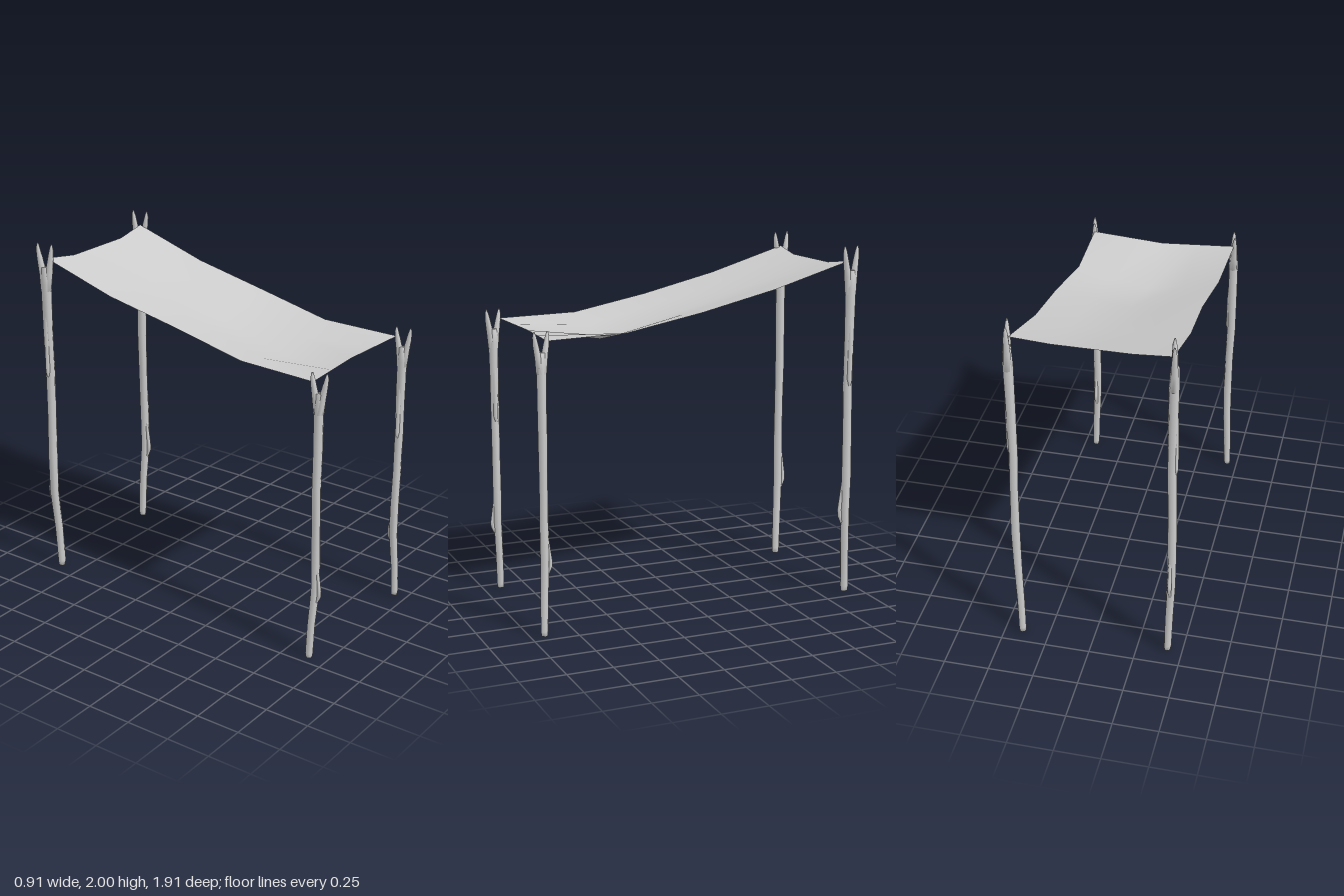
import * as THREE from 'three';
import { mergeVertices } from 'three/addons/utils/BufferGeometryUtils.js';

const grey = new THREE.MeshStandardMaterial({ color: 0xcccccc });
grey.name = 'plain grey';
const clothGrey = grey.clone();
clothGrey.name = 'cloth grey';
clothGrey.side = THREE.DoubleSide;

// Closed limb lofted through rings [x, y, z, radius], listed from bottom to top
function limb(name, rings, sides = 8) {
  const pos = [], index = [];
  rings.forEach(([x, y, z, r], k) => {
    for (let i = 0; i < sides; i++) {
      const a = (i / sides) * Math.PI * 2;
      const rr = r * (1 + 0.06 * Math.sin(i * 2.4 + k * 1.7)); // knotty bark
      pos.push(x + Math.sin(a) * rr, y, z + Math.cos(a) * rr);
    }
  });
  for (let k = 0; k < rings.length - 1; k++) {
    for (let i = 0; i < sides; i++) {
      const a = k * sides + i, b = k * sides + (i + 1) % sides;
      index.push(a, b, b + sides, a, b + sides, a + sides);
    }
  }
  const last = (rings.length - 1) * sides;
  for (let i = 1; i < sides - 1; i++) {
    index.push(0, i + 1, i, last, last + i, last + i + 1);
  }
  const geo = new THREE.BufferGeometry();
  geo.setAttribute('position', new THREE.Float32BufferAttribute(pos, 3));
  geo.setIndex(index);
  geo.computeVertexNormals();
  const mesh = new THREE.Mesh(geo, grey);
  mesh.name = name;
  return mesh;
}

// Forked branch used as a pole
function pole(name) {
  const g = new THREE.Group();
  g.name = name;
  g.add(limb('trunk', [
    [-0.014, 0.005, -0.013, 0.018], [-0.013, 0.03, -0.013, 0.021], [-0.008, 0.2, -0.008, 0.022],
    [0.004, 0.4, 0.002, 0.024], [0.006, 0.58, 0.001, 0.025], [0.002, 0.8, 0, 0.024],
    [-0.004, 1.0, 0, 0.025], [-0.001, 1.25, 0, 0.026], [0.001, 1.45, 0, 0.028], [0.002, 1.53, 0, 0.022],
  ]));
  // Two prongs of the fork
  for (const s of [-1, 1]) {
    g.add(limb(s > 0 ? 'frontProng' : 'backProng', [
      [0, 1.42, s * 0.006, 0.024], [s * 0.003, 1.5, s * 0.017, 0.02], [s * 0.006, 1.57, s * 0.03, 0.016],
      [s * 0.008, 1.615, s * 0.037, 0.011], [s * 0.008, 1.64, s * 0.039, 0.004],
    ]));
  }
  // Broken twigs lying against the trunk
  g.add(limb('upperTwig', [
    [0.019, 1.0, 0, 0.006], [0.017, 1.03, 0, 0.013], [0.015, 1.2, 0, 0.014],
    [0.009, 1.38, 0, 0.012], [0.004, 1.5, 0, 0.006],
  ]));
  g.add(limb('lowerTwig', [
    [0, 0.32, 0.008, 0.006], [0, 0.38, 0.031, 0.011], [0, 0.41, 0.032, 0.011],
    [0, 0.5, 0.02, 0.01], [0, 0.58, 0.012, 0.006],
  ]));
  return g;
}

// Sagging cloth: rows run front to back as [left-hand x, right-hand x, edge z, middle z, edge y, middle y]
function canopy() {
  const rows = [
    [-0.43, 0.41, 0.875, 0.84, 1.587, 1.578],
    [-0.42, 0.392, 0.425, 0.425, 1.597, 1.503],
    [-0.405, 0.41, 0, 0, 1.682, 1.62],
    [-0.425, 0.4, -0.44, -0.44, 1.782, 1.738],
    [-0.425, 0.41, -0.89, -0.868, 1.918, 1.89],
  ];
  const geo = new THREE.PlaneGeometry(1, 1, 4, rows.length - 1);
  const p = geo.attributes.position;
  for (let i = 0; i < p.count; i++) {
    const r = rows.length - 1 - Math.floor(i / 5), u = (i % 5) / 4;
    const [x0, x1, ze, zm, ye, ym] = rows[r];
    let sag = 1 - Math.abs(u * 2 - 1);
    if (r === 4) sag = Math.min(1, sag * 2); // tight, flat-bottomed rear edge
    p.setXYZ(i, x0 + (x1 - x0) * u, ye + (ym - ye) * sag, ze + (zm - ze) * sag);
  }
  geo.deleteAttribute('uv');
  geo.deleteAttribute('normal');
  const smooth = mergeVertices(geo);
  smooth.computeVertexNormals();
  const mesh = new THREE.Mesh(smooth, clothGrey);
  mesh.name = 'canopy';
  return mesh;
}

export function createModel() {
  const model = new THREE.Group();
  model.name = 'shelter';
  model.add(canopy());
  // Rear poles are taller; diagonal pairs face the same way
  const places = [
    ['frontRightPole', -0.425, 0.91, 1, 0],
    ['frontLeftPole', 0.417, 0.91, 1, Math.PI],
    ['backRightPole', -0.43, -0.895, 2 / 1.64, Math.PI],
    ['backLeftPole', 0.415, -0.895, 2 / 1.64, 0],
  ];
  for (const [name, x, z, height, turn] of places) {
    const p = pole(name);
    p.position.set(x, 0, z);
    p.scale.set(1, height, height > 1 ? 1.12 : 1);
    p.rotation.y = turn;
    model.add(p);
  }
  return model;
}
